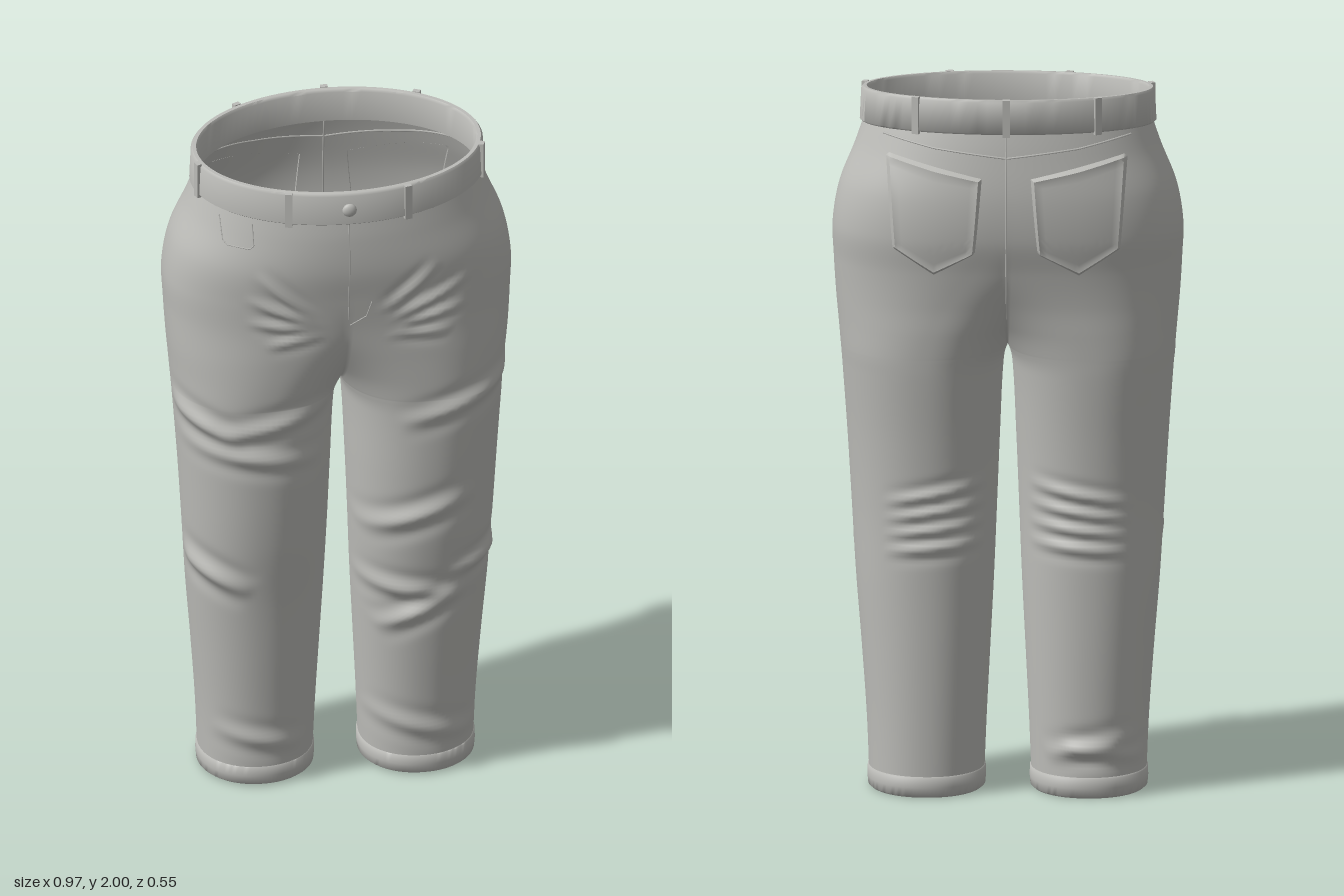
import * as THREE from 'three';
import { mergeVertices, toCreasedNormals } from 'three/addons/utils/BufferGeometryUtils.js';

const cloth = new THREE.MeshStandardMaterial({ color: 0xbcbcb8, side: THREE.DoubleSide });
cloth.name = 'grey cloth';

// Cross-sections of one half: height, outer x, inner x, front z, back z, roundness
const SECTIONS = [
  [0.00, 0.380, 0.066, 0.138, -0.182, 2.1], [0.20, 0.388, 0.058, 0.150, -0.183, 2.1],
  [0.40, 0.402, 0.048, 0.168, -0.183, 2.1], [0.60, 0.418, 0.038, 0.188, -0.182, 2.1],
  [0.80, 0.430, 0.030, 0.214, -0.182, 2.1], [1.00, 0.442, 0.022, 0.228, -0.192, 2.1],
  [1.20, 0.456, 0.012, 0.234, -0.208, 2.15], [1.25, 0.460, 0.000, 0.235, -0.211, 2.2],
  [1.32, 0.466, -0.045, 0.237, -0.215, 2.2], [1.40, 0.473, -0.130, 0.239, -0.220, 2.25],
  [1.50, 0.479, -0.275, 0.243, -0.236, 2.3], [1.60, 0.482, -0.405, 0.254, -0.258, 2.35],
  [1.70, 0.464, -0.455, 0.266, -0.263, 2.3], [1.80, 0.421, -0.421, 0.264, -0.247, 2.1],
  [1.88, 0.392, -0.392, 0.254, -0.228, 2.0],
];
const CROTCH = 1.25, WAIST = 1.88;

// Folds: x1, y1, x2, y2, height, width
const FRONT_FOLDS = [
  [-0.25, 1.70, -0.09, 1.54, 0.009, 0.014], [-0.28, 1.62, -0.08, 1.52, 0.009, 0.014],
  [-0.28, 1.54, -0.08, 1.51, 0.008, 0.013], [-0.23, 1.46, -0.07, 1.50, 0.008, 0.013],
  [0.25, 1.70, 0.10, 1.56, 0.009, 0.014], [0.35, 1.64, 0.12, 1.53, 0.009, 0.014],
  [0.34, 1.55, 0.13, 1.51, 0.008, 0.013], [0.29, 1.47, 0.12, 1.49, 0.008, 0.013],
  [-0.50, 1.24, -0.28, 1.15, 0.014, 0.022], [-0.36, 1.17, -0.03, 1.24, 0.013, 0.022],
  [-0.45, 1.13, -0.06, 1.07, 0.012, 0.022], [-0.47, 0.75, -0.26, 0.65, 0.016, 0.024],
  [0.14, 1.18, 0.50, 1.28, 0.012, 0.022], [0.03, 0.81, 0.36, 0.94, 0.014, 0.024],
  [0.03, 0.64, 0.32, 0.60, 0.013, 0.022], [0.08, 0.48, 0.34, 0.62, 0.015, 0.022],
  [0.28, 0.67, 0.48, 0.71, 0.013, 0.020], [0.06, 0.20, 0.38, 0.11, 0.010, 0.022],
  [-0.36, 0.18, -0.10, 0.12, 0.009, 0.022],
];
const BACK_FOLDS = [];
for (const s of [-1, 1]) for (let i = 0; i < 4; i++) {
  const y = 0.70 + i * 0.055;
  BACK_FOLDS.push([s * 0.06, y + 0.02, s * 0.34, y - 0.01 * i, 0.011, 0.015]);
}
BACK_FOLDS.push([-0.36, 0.17, -0.10, 0.12, 0.012, 0.02], [-0.38, 0.11, -0.14, 0.15, 0.01, 0.018]);

function foldHeight(x, y, front) {
  let h = 0;
  for (const [x1, y1, x2, y2, amp, w] of front ? FRONT_FOLDS : BACK_FOLDS) {
    const dx = x2 - x1, dy = y2 - y1, len = Math.hypot(dx, dy);
    const t = ((x - x1) * dx + (y - y1) * dy) / (len * len);
    if (t <= 0 || t >= 1) continue;
    const d = ((x - x1) * dy - (y - y1) * dx) / len / w;
    h += amp * Math.sin(Math.PI * t) * (Math.exp(-d * d) - 0.35 * Math.exp(-((Math.abs(d) - 2) ** 2)));
  }
  return h;
}

// Smoothly interpolated cross-section at a height
function section(y) {
  let i = 0;
  while (i < SECTIONS.length - 2 && y > SECTIONS[i + 1][0]) i++;
  const at = (k) => SECTIONS[Math.min(Math.max(k, 0), SECTIONS.length - 1)];
  const [p, a, b, q] = [at(i - 1), at(i), at(i + 1), at(i + 2)];
  const h = b[0] - a[0], t = (y - a[0]) / h;
  const v = [1, 2, 3, 4, 5].map((k) => {
    const m0 = (b[k] - p[k]) / (b[0] - p[0]) * h, m1 = (q[k] - a[k]) / (q[0] - a[0]) * h;
    return (2 * t ** 3 - 3 * t * t + 1) * a[k] + (t ** 3 - 2 * t * t + t) * m0
      + (3 * t * t - 2 * t ** 3) * b[k] + (t ** 3 - t * t) * m1;
  });
  return { cx: (v[0] + v[1]) / 2, a: (v[0] - v[1]) / 2, cz: (v[2] + v[3]) / 2, b: (v[2] - v[3]) / 2, n: v[4] };
}

const tilt = (y, z) => y + 0.09 * (0.26 - z) * THREE.MathUtils.smoothstep(y, 1.6, WAIST);
const spow = (v, e) => Math.sign(v) * Math.abs(v) ** e;

// Point on the trouser surface from x and height, lifted by an offset
function onSurface(x, y, front, lift = 0) {
  const s = section(y), u = Math.min(1, Math.abs((Math.abs(x) - s.cx) / s.a));
  const d = s.b * (1 - u ** s.n) ** (1 / s.n) + lift;
  const z = s.cz + (front ? d : -d);
  return new THREE.Vector3(x, tilt(y, z), z);
}

function grid(points, rows, cols, flip, out, index) {
  const base = out.length / 3;
  for (const p of points) out.push(p[0], p[1], p[2]);
  for (let r = 0; r < rows - 1; r++) for (let c = 0; c < cols - 1; c++) {
    const a = base + r * cols + c, b = a + 1, d = a + cols, e = d + 1;
    if (flip) index.push(a, b, d, b, e, d);
    else index.push(a, d, b, b, d, e);
  }
}

function toGeometry(pos, index) {
  const g = new THREE.BufferGeometry();
  g.setAttribute('position', new THREE.Float32BufferAttribute(pos, 3));
  g.setIndex(index);
  const m = mergeVertices(g, 1e-5);
  m.computeVertexNormals();
  return m;
}

// Legs and seat: closed rings below the crotch, half rings meeting at x = 0 above it
function bodyGeometry() {
  const pos = [], index = [], cols = 97, ys = [];
  for (let i = 0; i <= 110; i++) ys.push(0.03 + (CROTCH - 0.03) * i / 110);
  for (let i = 1; i <= 64; i++) ys.push(CROTCH + (WAIST - CROTCH) * (i / 64) ** 1.25);
  for (const side of [1, -1]) {
    const pts = [];
    for (const y of ys) {
      const s = section(y), open = y > CROTCH + 1e-6;
      const end = open ? Math.PI - Math.acos(Math.min(1, (Math.max(s.cx, 0) / s.a) ** (s.n / 2))) : Math.PI;
      for (let c = 0; c < cols; c++) {
        const th = end * (2 * c / (cols - 1) - 1), edge = c === 0 || c === cols - 1;
        const ex = spow(Math.cos(th), 2 / s.n), ez = spow(Math.sin(th), 2 / s.n);
        let x = s.cx + s.a * ex, z = s.cz + s.b * ez;
        const f = foldHeight(side * x, y, z > s.cz) * Math.min(1, Math.abs(ez) * 2.5);
        const l = Math.hypot(ex, ez);
        x = edge && open ? 0 : Math.max(0, x + f * ex / l);
        z += f * ez / l;
        pts.push([side * x, tilt(y, z), z]);
      }
    }
    grid(pts, ys.length, cols, side < 0, pos, index);
  }
  return toGeometry(pos, index);
}

// Closed profile of [offset, height] swept around an oval
function band(profile, cx, cz, a, b, n, slope) {
  const pos = [], index = [], pts = [], cols = 97;
  for (const [o, h] of [...profile, profile[0]]) for (let c = 0; c < cols; c++) {
    const th = (c % (cols - 1)) / (cols - 1) * Math.PI * 2;
    const z = cz + (b + o) * spow(Math.sin(th), 2 / n);
    pts.push([cx + (a + o) * spow(Math.cos(th), 2 / n), h + slope * (0.26 - z), z]);
  }
  grid(pts, profile.length + 1, cols, false, pos, index);
  return toCreasedNormals(toGeometry(pos, index), 0.9);
}

// Five-sided patch pocket that follows the seat
function pocketGeometry(side) {
  const pos = [], index = [], pts = [], n = 25;
  for (let j = 0; j < n; j++) for (let i = 0; i < n; i++) {
    const u = i / (n - 1), v = j / (n - 1);
    const top = 1.755 + 0.05 * u, bottom = 1.565 - 0.07 * (1 - Math.abs(2 * u - 1)) + 0.01 * u;
    const x = 0.065 + 0.27 * u + (1 - v) * (0.5 - u) * 0.04;
    const rim = Math.min(u, 1 - u, v, 1 - v);
    const p = onSurface(side * x, bottom + (top - bottom) * v, false, rim < 0.01 ? -0.003 : rim < 0.06 ? 0.013 : 0.010);
    pts.push([p.x, p.y, p.z]);
  }
  grid(pts, n, n, side > 0, pos, index);
  return toCreasedNormals(toGeometry(pos, index), 0.7);
}

export function createModel() {
  const model = new THREE.Group();
  model.name = 'trousers';
  const add = (name, geometry) => {
    const m = new THREE.Mesh(geometry, cloth);
    m.name = name;
    model.add(m);
    return m;
  };
  const seam = (name, pts, front, r = 0.003) => {
    const path = [];
    for (let k = 0; k < pts.length - 1; k++) for (let i = 0; i < 8; i++)
      path.push(onSurface(THREE.MathUtils.lerp(pts[k][0], pts[k + 1][0], i / 8),
        THREE.MathUtils.lerp(pts[k][1], pts[k + 1][1], i / 8), front));
    path.push(onSurface(...pts[pts.length - 1], front));
    add(name, new THREE.TubeGeometry(new THREE.CatmullRomCurve3(path), path.length * 2, r, 5));
  };

  add('legsAndSeat', bodyGeometry());

  // Waistband
  const W = { cz: 0.0125, a: 0.406, b: 0.254 };
  add('waistband', band([[-0.004, 1.857], [0.002, 1.862], [-0.002, 1.948], [-0.007, 1.955],
    [-0.017, 1.955], [-0.022, 1.948], [-0.020, 1.857]], 0, W.cz, W.a, W.b, 2, 0.09));

  // Belt loops, turned to face outward along the waistband
  for (const deg of [66, 114, 14, 166, 270, 232, 308]) {
    const t = deg * Math.PI / 180, z = W.cz + W.b * Math.sin(t);
    const m = add('beltLoop', new THREE.BoxGeometry(0.02, 0.105, 0.014));
    m.position.set(W.a * Math.cos(t), 1.904 + 0.09 * (0.26 - z), z);
    m.rotation.y = Math.atan2(Math.cos(t) / W.a, Math.sin(t) / W.b);
  }

  // Waist button
  const button = add('button', new THREE.SphereGeometry(0.02, 20, 12));
  button.scale.z = 0.55;
  button.position.set(0, 1.905, 0.268);

  // Hems with thickness
  for (const side of [1, -1]) {
    const s = section(0.03);
    add('hem', band([[-0.004, 0.006], [0.003, 0.012], [0.005, 0.035], [0.004, 0.062], [-0.003, 0.068],
      [-0.018, 0.066], [-0.02, 0.012], [-0.015, 0.006]], side * s.cx, s.cz, s.a, s.b, s.n, -0.012));
  }

  // Back pockets
  for (const side of [1, -1]) add('backPocket', pocketGeometry(side));

  // Stitched seams
  seam('flySeam', [[0, 1.86], [0, 1.54]], true, 0.002);
  seam('flyStitch', [[0.065, 1.60], [0.05, 1.55], [0.005, 1.52]], true, 0.002);
  seam('coinPocket', [[-0.345, 1.84], [-0.34, 1.78], [-0.33, 1.77], [-0.27, 1.77], [-0.26, 1.78], [-0.262, 1.84]], true, 0.002);
  seam('seatSeam', [[0, 1.86], [0, 1.36]], false);
  for (const side of [1, -1]) seam('yokeSeam', [[0, 1.80], [side * 0.2, 1.82], [side * 0.34, 1.845]], false);
  return model;
}
